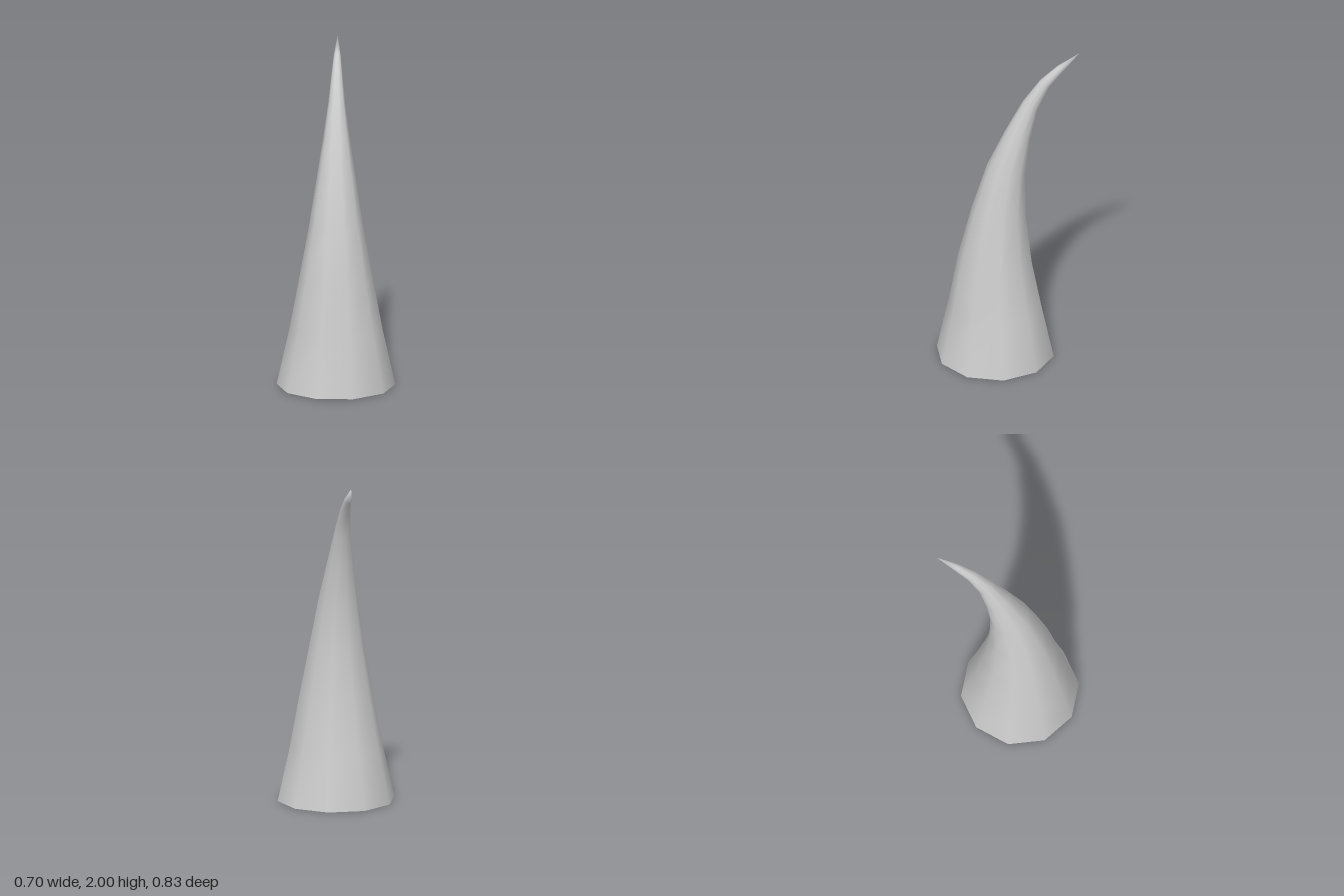
import * as THREE from 'three';

const SIDES = 10;

// Each ring: radius across x, then front edge (z, y) and back edge (z, y)
const RINGS = [
  [0.35, 0.416, 0, -0.25, 0],
  [0.276, 0.347, 0.335, -0.181, 0.33],
  [0.22, 0.296, 0.638, -0.125, 0.628],
  [0.161, 0.217, 0.968, -0.09, 0.942],
  [0.116, 0.127, 1.262, -0.09, 1.217],
  [0.078, 0.021, 1.492, -0.122, 1.45],
  [0.049, -0.085, 1.693, -0.169, 1.65],
  [0.033, -0.19, 1.835, -0.238, 1.79],
  [0.021, -0.29, 1.922, -0.32, 1.888],
];
const TIP = [0, 2, -0.416];

// Loft tilted ten-sided rings up to a point
function hornGeometry() {
  const positions = [];
  const index = [];
  const reach = Math.sin(0.4 * Math.PI); // depth of a decagon relative to its radius
  for (const [r, zf, yf, zb, yb] of RINGS) {
    for (let i = 0; i < SIDES; i++) {
      const a = (i / SIDES) * Math.PI * 2;
      const t = 0.5 + (0.5 * Math.sin(a)) / reach; // 0 at the back, 1 at the front
      positions.push(r * Math.cos(a), yb + (yf - yb) * t, zb + (zf - zb) * t);
    }
  }
  const tip = positions.length / 3;
  positions.push(...TIP);
  for (let k = 0; k < RINGS.length; k++) {
    for (let i = 0; i < SIDES; i++) {
      const a = k * SIDES + i;
      const b = k * SIDES + ((i + 1) % SIDES);
      if (k === RINGS.length - 1) index.push(a, tip, b);
      else index.push(a, a + SIDES, b, b, a + SIDES, b + SIDES);
    }
  }
  const geometry = new THREE.BufferGeometry();
  geometry.setAttribute('position', new THREE.Float32BufferAttribute(positions, 3));
  geometry.setIndex(index);
  geometry.computeVertexNormals();
  return geometry;
}

export function createModel() {
  const group = new THREE.Group();
  group.name = 'curvedHorn';
  const material = new THREE.MeshStandardMaterial({ color: 0xcccccc });

  // Smooth curved shell
  const horn = new THREE.Mesh(hornGeometry(), material);
  horn.name = 'hornShell';

  // Flat underside
  const base = new THREE.Mesh(new THREE.CircleGeometry(0.35, SIDES).rotateX(Math.PI / 2), material);
  base.name = 'baseCap';
  base.position.z = 0.083;

  group.add(horn, base);
  return group;
}
